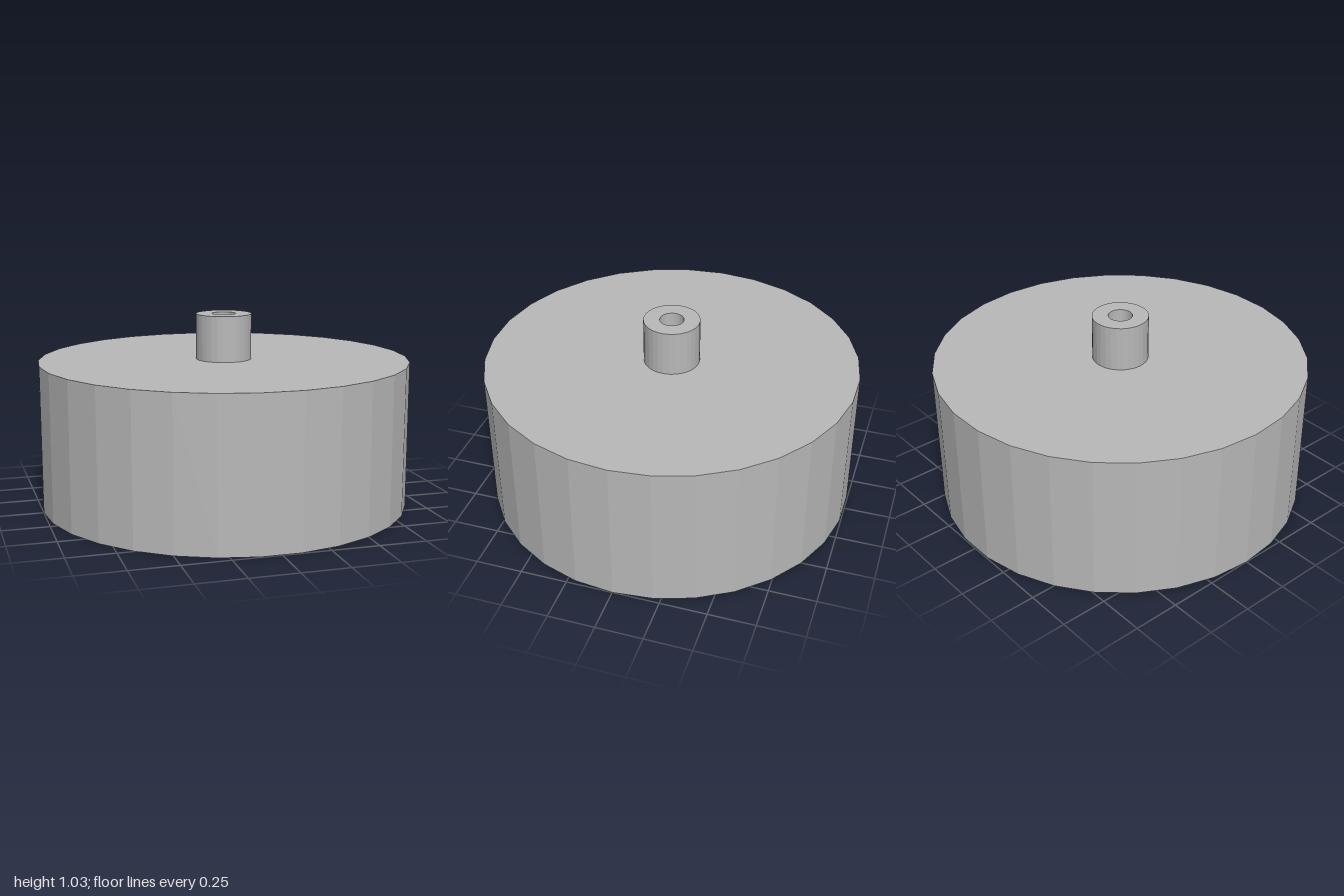
import * as THREE from 'three';

const SIDES = 30;

// Faceted look: split the faces and give each its own normal
function faceted(geometry) {
  const flat = geometry.index ? geometry.toNonIndexed() : geometry;
  flat.computeVertexNormals();
  return flat;
}

// Trapezoid ridge swept along a right-hand helix inside the cap
function threadGeometry({ root, crest, startY, pitch, turns }) {
  const section = [[root, -0.076], [crest, -0.01], [crest, 0.01], [root, 0.076]];
  const steps = Math.round(turns * SIDES);
  const positions = [], index = [];
  for (let i = 0; i <= steps; i++) {
    const angle = (i / SIDES) * Math.PI * 2;
    const y = startY + (pitch * i) / SIDES;
    for (const [r, dy] of section) {
      positions.push(r * Math.cos(angle), y + dy, -r * Math.sin(angle));
    }
    if (i === steps) break;
    for (let k = 0; k < 3; k++) {
      const a = i * 4 + k, b = a + 1, c = a + 4, d = a + 5;
      index.push(a, b, c, b, d, c);
    }
  }
  // End caps
  const e = steps * 4;
  index.push(0, 2, 1, 0, 3, 2, e, e + 1, e + 2, e, e + 2, e + 3);
  const geometry = new THREE.BufferGeometry();
  geometry.setAttribute('position', new THREE.Float32BufferAttribute(positions, 3));
  geometry.setIndex(index);
  return faceted(geometry);
}

export function createModel() {
  const group = new THREE.Group();
  group.name = 'threadedCap';
  const grey = new THREE.MeshStandardMaterial({ color: 0xb8b8b8 });
  grey.name = 'grey';

  const add = (name, geometry) => {
    const mesh = new THREE.Mesh(geometry, grey);
    mesh.name = name;
    group.add(mesh);
  };

  // Hollow cap with a bored spout, as one closed profile
  const profile = [
    [0.86, 0], [1, 0], [1, 0.79], [0.15, 0.79], [0.15, 1.035],
    [0.064, 1.035], [0.064, 0.61], [0.86, 0.61], [0.86, 0],
  ].map(([r, y]) => new THREE.Vector2(r, y));
  add('capAndSpout', faceted(new THREE.LatheGeometry(profile, SIDES, Math.PI / 2)));

  // Inner screw thread
  add('screwThread', threadGeometry({
    root: 0.862, crest: 0.8, startY: 0.085, pitch: 0.16, turns: 2.5,
  }));

  return group;
}
